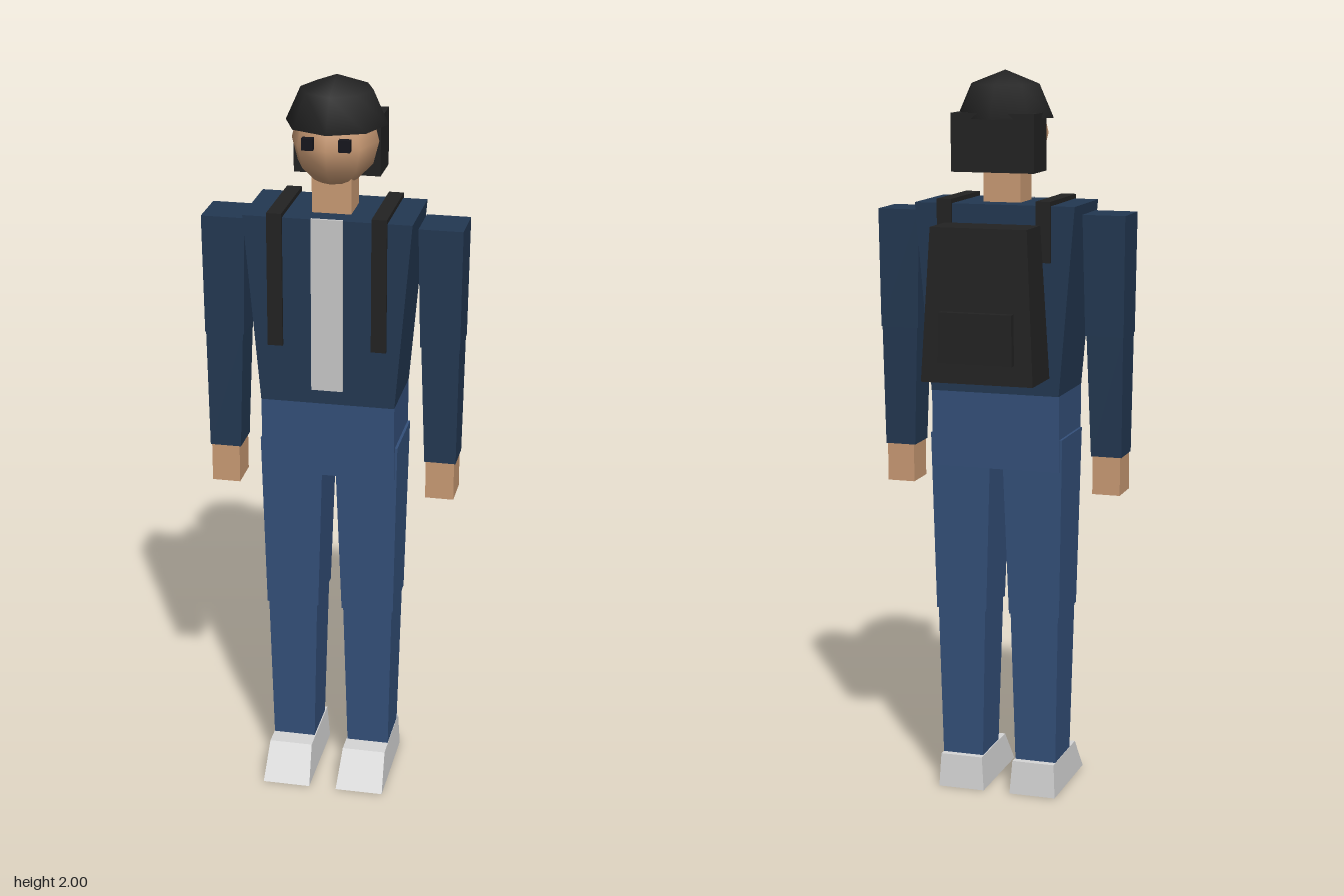
import * as THREE from 'three';

const paint = (name, color) => {
  const m = new THREE.MeshStandardMaterial({ color });
  m.name = name;
  return m;
};

// Tapered block: each rectangle is [xMin, xMax, zMin, zMax]
function block(name, material, y0, y1, bottom, top = bottom) {
  const geo = new THREE.BoxGeometry(1, 1, 1);
  const p = geo.attributes.position;
  for (let i = 0; i < p.count; i++) {
    const up = p.getY(i) > 0;
    const r = up ? top : bottom;
    p.setXYZ(i, p.getX(i) > 0 ? r[1] : r[0], up ? y1 : y0, p.getZ(i) > 0 ? r[3] : r[2]);
  }
  geo.computeVertexNormals();
  const mesh = new THREE.Mesh(geo, material);
  mesh.name = name;
  return mesh;
}

export function createModel() {
  const jacket = paint('jacket navy', 0x233852);
  const denim = paint('denim blue', 0x34507a);
  const skin = paint('skin', 0xc99a74);
  const black = paint('black', 0x222222);
  const shirtGrey = paint('shirt grey', 0xc8c8c8);
  const shoeGrey = paint('shoe grey', 0xd6d6d6);
  const eyeDark = paint('eye dark', 0x15151c);
  const helmetBlack = paint('helmet black', 0x232323);
  helmetBlack.side = THREE.DoubleSide;

  const model = new THREE.Group();
  model.name = 'figure';

  // Torso and hips
  model.add(
    block('torso', jacket, 1.14, 1.65, [-0.18, 0.18, -0.065, 0.157], [-0.223, 0.223, -0.07, 0.16]),
    block('shirtFront', shirtGrey, 1.18, 1.652, [-0.042, 0.042, 0.156, 0.164]),
    block('hips', denim, 0.93, 1.14, [-0.18, 0.18, -0.058, 0.152], [-0.18, 0.18, -0.062, 0.156]),
    block('neck', skin, 1.64, 1.77, [-0.052, 0.052, 0, 0.1])
  );

  // Head, hair and open domed helmet
  const head = new THREE.Mesh(new THREE.SphereGeometry(1, 8, 6), skin);
  head.name = 'head';
  head.scale.set(0.115, 0.12, 0.125);
  head.position.set(0, 1.835, 0.05);
  const helmet = new THREE.Mesh(
    new THREE.SphereGeometry(1, 8, 2, 0, Math.PI * 2, 0, Math.PI / 2), helmetBlack);
  helmet.name = 'helmet';
  helmet.scale.set(0.135, 0.125, 0.14);
  helmet.position.set(0, 1.875, 0.03);
  model.add(head, helmet,
    block('hair', black, 1.735, 1.89, [-0.115, 0.115, -0.085, 0.03]));

  // Backpack and pocket
  model.add(
    block('backpack', black, 1.19, 1.6, [-0.155, 0.155, -0.22, -0.068], [-0.133, 0.133, -0.205, -0.085]),
    block('backpackPocket', black, 1.245, 1.38, [-0.103, 0.103, -0.237, -0.2], [-0.1, 0.1, -0.235, -0.2])
  );

  // Paired parts, built on +x and mirrored to -x
  for (const s of [1, -1]) {
    const side = new THREE.Group();
    side.name = s > 0 ? 'leftSide' : 'rightSide';
    const add = (name, material, y0, y1, bottom, top = bottom) => {
      const flip = (r) => (s > 0 ? r : [-r[1], -r[0], r[2], r[3]]);
      side.add(block(name, material, y0, y1, flip(bottom), flip(top)));
    };
    // Arm
    add('upperArm', jacket, 1.3, 1.625, [0.238, 0.344, -0.013, 0.106], [0.23, 0.347, -0.02, 0.11]);
    add('forearm', jacket, 0.97, 1.3, [0.253, 0.338, 0, 0.1], [0.241, 0.342, -0.01, 0.104]);
    add('hand', skin, 0.865, 0.97, [0.257, 0.334, 0.002, 0.1]);
    // Leg
    add('thigh', denim, 0.52, 1.02, [0.033, 0.177, -0.04, 0.13], [0.016, 0.187, -0.053, 0.142]);
    add('shin', denim, 0.09, 0.52, [0.048, 0.164, -0.025, 0.117], [0.037, 0.173, -0.037, 0.127]);
    add('shoe', shoeGrey, 0, 0.095, [0.038, 0.17, -0.05, 0.237], [0.045, 0.165, -0.045, 0.17]);
    // Backpack strap: down the chest and over the shoulder
    add('strapFront', black, 1.3, 1.662, [0.118, 0.158, 0.155, 0.168]);
    add('strapTop', black, 1.645, 1.662, [0.118, 0.158, -0.078, 0.156]);
    add('strapBack', black, 1.5, 1.662, [0.118, 0.158, -0.078, -0.065]);
    // Eye
    add('eye', eyeDark, 1.835, 1.866, [0.033, 0.063, 0.155, 0.174]);
    model.add(side);
  }
  return model;
}
